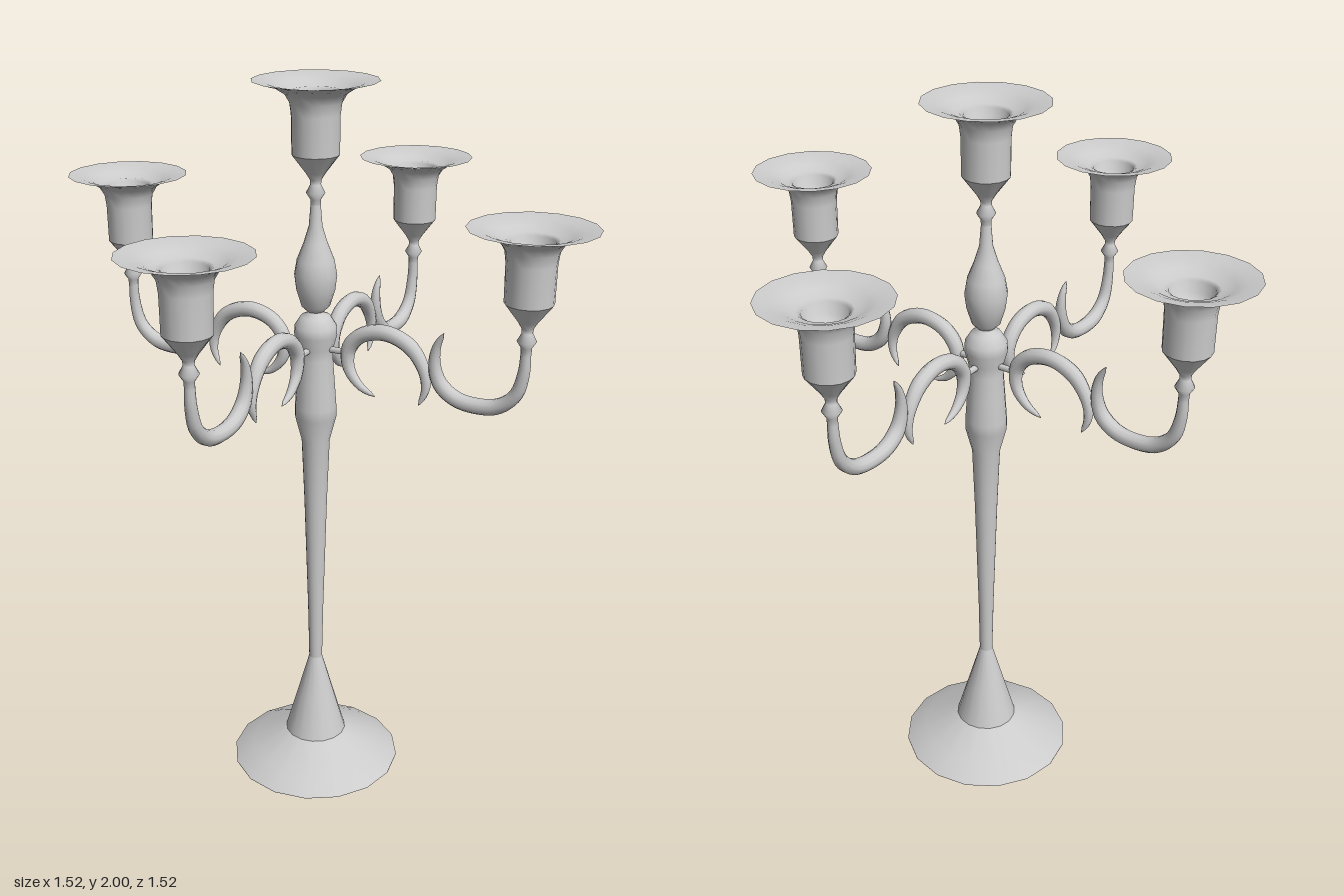
import * as THREE from 'three';

const material = new THREE.MeshStandardMaterial({ color: 0xcccccc, side: THREE.DoubleSide });

const toPoints = (list) => list.map(([x, y]) => new THREE.Vector2(x, y));

function addMesh(parent, name, geometry) {
  const mesh = new THREE.Mesh(geometry, material);
  mesh.name = name;
  parent.add(mesh);
  return mesh;
}

// Turned part from [radius, height] pairs; a repeated pair makes a sharp edge
const turned = (profile) => new THREE.LatheGeometry(toPoints(profile), 16);

// Round bar along a flat curve, its radius given by radiusAt(0..1)
function taperedBar(list, radiusAt, steps = 36, sides = 10) {
  const curve = new THREE.CatmullRomCurve3(list.map(([x, y]) => new THREE.Vector3(x, y, 0)));
  const geometry = new THREE.TubeGeometry(curve, steps, 1, sides);
  const position = geometry.attributes.position;
  const v = new THREE.Vector3();
  for (let i = 0; i <= steps; i++) {
    const centre = curve.getPointAt(i / steps);
    const radius = Math.max(radiusAt(i / steps), 0.0008);
    for (let j = 0; j <= sides; j++) {
      const k = i * (sides + 1) + j;
      v.fromBufferAttribute(position, k).sub(centre).multiplyScalar(radius).add(centre);
      position.setXYZ(k, v.x, v.y, v.z);
    }
  }
  return geometry;
}

const BAR = 0.021;
const taper = (u, length) => Math.sqrt(Math.min(1, u / length));

// Candle cup with drip pan; the rim lies at y = 0
const cupGeometry = turned([
  [0.013, -0.32], [0.014, -0.3], [0.025, -0.283], [0.014, -0.262], [0.015, -0.25],
  [0.026, -0.232], [0.062, -0.185], [0.062, -0.185],
  [0.063, -0.085], [0.067, -0.055], [0.08, -0.033], [0.11, -0.014], [0.163, 0], [0.163, 0],
  [0.125, -0.006], [0.098, -0.016], [0.078, -0.027], [0.066, -0.027], [0.056, -0.033],
  [0.052, -0.06], [0.035, -0.075], [0, -0.08],
]);

// Arch nearest the stem, pointed at both ends
const archGeometry = taperedBar([
  [0.18, 1.19], [0.135, 1.212], [0.102, 1.255], [0.1, 1.31], [0.138, 1.355], [0.21, 1.372],
  [0.282, 1.345], [0.322, 1.285], [0.326, 1.235], [0.308, 1.19],
], (u) => BAR * taper(u, 0.32) * taper(1 - u, 0.32));

// Outer scroll, pointed at the inner end and slim under the cup
const scrollGeometry = taperedBar([
  [0.373, 1.4], [0.354, 1.36], [0.35, 1.31], [0.367, 1.262], [0.41, 1.23], [0.47, 1.221],
  [0.53, 1.232], [0.574, 1.27], [0.592, 1.33], [0.595, 1.4],
], (u) => BAR * taper(u, 0.3) * (u < 0.6 ? 1 : 1 - 0.4 * (u - 0.6) / 0.4));

const pegGeometry = new THREE.CylinderGeometry(0.009, 0.009, 0.06, 8).rotateZ(Math.PI / 2);

function createArm() {
  const arm = new THREE.Group();
  arm.name = 'arm';
  addMesh(arm, 'armArch', archGeometry);
  addMesh(arm, 'armScroll', scrollGeometry);
  addMesh(arm, 'armPeg', pegGeometry).position.set(0.07, 1.3, 0);
  addMesh(arm, 'candleCup', cupGeometry).position.set(0.595, 1.7, 0);
  return arm;
}

export function createModel() {
  const model = new THREE.Group();
  model.name = 'candelabrum';

  // Flared foot
  addMesh(model, 'foot', turned([
    [0, 0], [0.245, 0], [0.245, 0], [0.245, 0.004], [0.19, 0.036], [0.088, 0.088], [0.088, 0.088],
    [0.055, 0.205], [0.019, 0.335],
  ]));

  // Slender stem with the collar that holds the arms
  addMesh(model, 'stem', turned([
    [0.019, 0.335], [0.022, 0.5], [0.032, 0.85], [0.039, 1.03], [0.057, 1.1], [0.057, 1.13],
    [0.052, 1.2], [0.047, 1.27], [0.048, 1.3], [0.058, 1.335], [0.057, 1.36], [0.04, 1.387],
    [0.022, 1.395], [0.022, 1.405],
  ]));

  // Pear-shaped finial carrying the centre cup
  addMesh(model, 'finial', turned([
    [0.022, 1.4], [0.038, 1.415], [0.052, 1.46], [0.057, 1.5], [0.05, 1.54], [0.032, 1.585],
    [0.018, 1.63], [0.013, 1.69],
  ]));
  addMesh(model, 'centreCup', cupGeometry).position.y = 2;

  // Four arms around the stem
  for (let i = 0; i < 4; i++) {
    const arm = createArm();
    arm.rotation.y = i * Math.PI / 2;
    model.add(arm);
  }
  return model;
}
